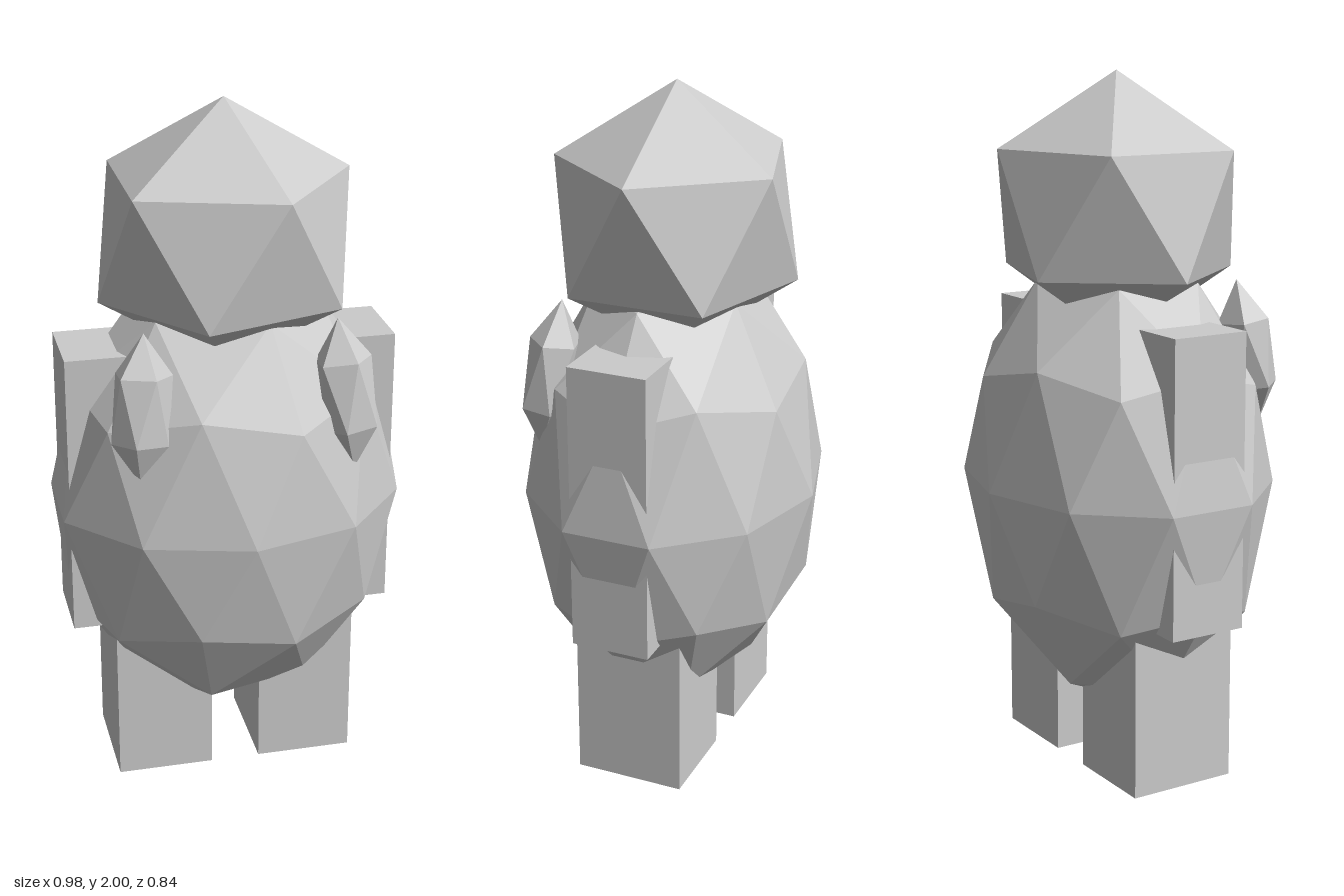
import * as THREE from 'three';

const material = new THREE.MeshStandardMaterial({ color: 0xcccccc, flatShading: true });

// Icosahedron standing on a corner, stretched to the three radii
function icoSphere(rx, ry, rz, detail) {
  const h = Math.sqrt(0.2), r = 2 * h;
  const points = [0, 1, 0, 0, -1, 0];
  const faces = [];
  for (let i = 0; i < 5; i++) {
    const a = (i * 2 * Math.PI) / 5, b = a + Math.PI / 5;
    points.push(r * Math.cos(a), h, r * Math.sin(a));
    points.push(r * Math.cos(b), -h, r * Math.sin(b));
    const j = (i + 1) % 5;
    const u0 = 2 + 2 * i, l0 = u0 + 1, u1 = 2 + 2 * j, l1 = u1 + 1;
    faces.push(0, u1, u0, u0, u1, l0, u1, l1, l0, 1, l0, l1);
  }
  const geometry = new THREE.PolyhedronGeometry(points, faces, 1, detail);
  geometry.scale(rx, ry, rz);
  geometry.computeVertexNormals();
  return geometry;
}

export function createModel() {
  const model = new THREE.Group();
  model.name = 'creature';

  const add = (name, geometry, x, y, z) => {
    const mesh = new THREE.Mesh(geometry, material);
    mesh.name = name;
    mesh.position.set(x, y, z);
    model.add(mesh);
    return mesh;
  };

  add('body', icoSphere(0.515, 0.68, 0.42, 1), 0, 0.843, 0);
  add('head', icoSphere(0.398, 0.385, 0.376, 0), 0, 1.615, 0);

  // Square arms and legs, partly sunk into the body
  for (const [side, s] of [['left', 1], ['right', -1]]) {
    add(side + 'Arm', new THREE.BoxGeometry(0.23, 0.835, 0.23), s * 0.355, 0.905, 0);
    add(side + 'Leg', new THREE.BoxGeometry(0.282, 0.54, 0.322), s * 0.213, 0.27, 0);
  }

  // Small leaning spikes on the chest, given by their upper and lower tips
  const spikes = [
    ['leftSpike', new THREE.Vector3(0.268, 1.43, 0.225), new THREE.Vector3(0.31, 1.0, 0.28)],
    ['rightSpike', new THREE.Vector3(-0.27, 1.43, 0.225), new THREE.Vector3(-0.295, 1.015, 0.285)],
  ];
  for (const [name, top, tip] of spikes) {
    const axis = top.clone().sub(tip);
    const mid = top.clone().add(tip).multiplyScalar(0.5);
    const spike = add(name, icoSphere(0.093, axis.length() / 2, 0.08, 0), mid.x, mid.y, mid.z);
    spike.quaternion.setFromUnitVectors(new THREE.Vector3(0, 1, 0), axis.normalize());
  }

  return model;
}
